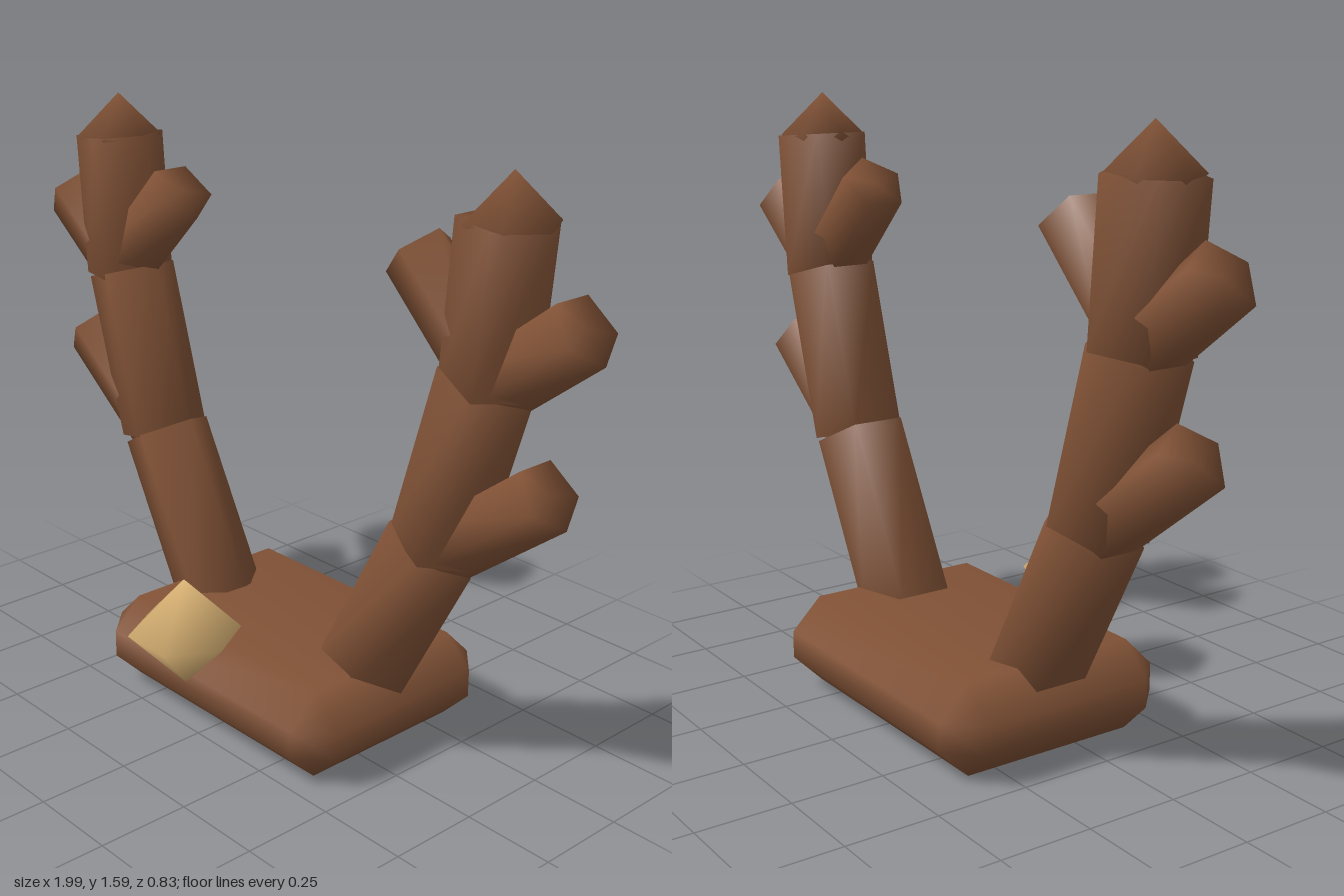
import * as THREE from 'three';
import { mergeVertices } from 'three/addons/utils/BufferGeometryUtils.js';
import { ConvexGeometry } from 'three/addons/geometries/ConvexGeometry.js';

// Weld all corners so the low-poly forms shade smoothly
function soften(geometry) {
  geometry.deleteAttribute('normal');
  geometry.deleteAttribute('uv');
  const welded = mergeVertices(geometry, 1e-4);
  welded.computeVertexNormals();
  return welded;
}

// Box with every edge cut at 45 degrees
function chamferedBox(hx, hy, hz, c) {
  const points = [];
  for (const sx of [-1, 1]) for (const sy of [-1, 1]) for (const sz of [-1, 1]) {
    points.push(
      new THREE.Vector3(sx * hx, sy * (hy - c), sz * (hz - c)),
      new THREE.Vector3(sx * (hx - c), sy * hy, sz * (hz - c)),
      new THREE.Vector3(sx * (hx - c), sy * (hy - c), sz * hz));
  }
  return soften(new ConvexGeometry(points));
}

export function createModel() {
  const bark = new THREE.MeshStandardMaterial({ color: 0x815236 });
  bark.name = 'brown bark';
  const gold = new THREE.MeshStandardMaterial({ color: 0xe0b878 });
  gold.name = 'pale gold';

  const model = new THREE.Group();
  model.name = 'antlerMount';
  const midX = -0.005, midZ = -0.084;

  const add = (parent, name, geometry, material, x, y, z) => {
    const mesh = new THREE.Mesh(geometry, material);
    mesh.name = name;
    mesh.position.set(x, y, z);
    parent.add(mesh);
    return mesh;
  };

  // Base block
  add(model, 'base', chamferedBox(0.45, 0.1225, 0.33, 0.085), bark, midX, 0.1225, midZ);

  // Gem in front of the base
  add(model, 'gem', soften(new THREE.SphereGeometry(0.15, 6, 2)), gold, midX, 0.317, 0.285);

  // Five-sided limbs: name, radius, start x, y, end x, y
  const limbs = [
    ['lowerBeam', 0.128, 0.30, 0.20, 0.537, 0.643],
    ['middleBeam', 0.128, 0.547, 0.642, 0.683, 1.095],
    ['upperBeam', 0.128, 0.69, 1.085, 0.722, 1.477],
    ['lowerProng', 0.091, 0.575, 0.645, 0.872, 0.873],
    ['upperOuterProng', 0.091, 0.66, 1.06, 0.945, 1.28],
    ['upperInnerProng', 0.091, 0.69, 1.113, 0.4425, 1.36],
  ];

  for (const side of [1, -1]) {
    const antler = new THREE.Group();
    antler.name = side > 0 ? 'leftAntler' : 'rightAntler';
    antler.position.set(midX, 0, midZ);
    model.add(antler);

    for (const [name, radius, x0, y0, x1, y1] of limbs) {
      const dx = side * (x1 - x0), dy = y1 - y0;
      // The pentagon's point faces +x on both antlers
      const geometry = soften(new THREE.CylinderGeometry(
        radius, radius, Math.hypot(dx, dy), 5, 1, false, Math.PI / 2));
      const limb = add(antler, name, geometry, bark, side * (x0 + x1) / 2, (y0 + y1) / 2, 0);
      limb.rotation.z = -Math.atan2(dx, dy);
    }

    // Pointed tip
    add(antler, 'tip', soften(new THREE.SphereGeometry(0.118, 6, 2)), bark, side * 0.722, 1.475, 0);
  }
  return model;
}
